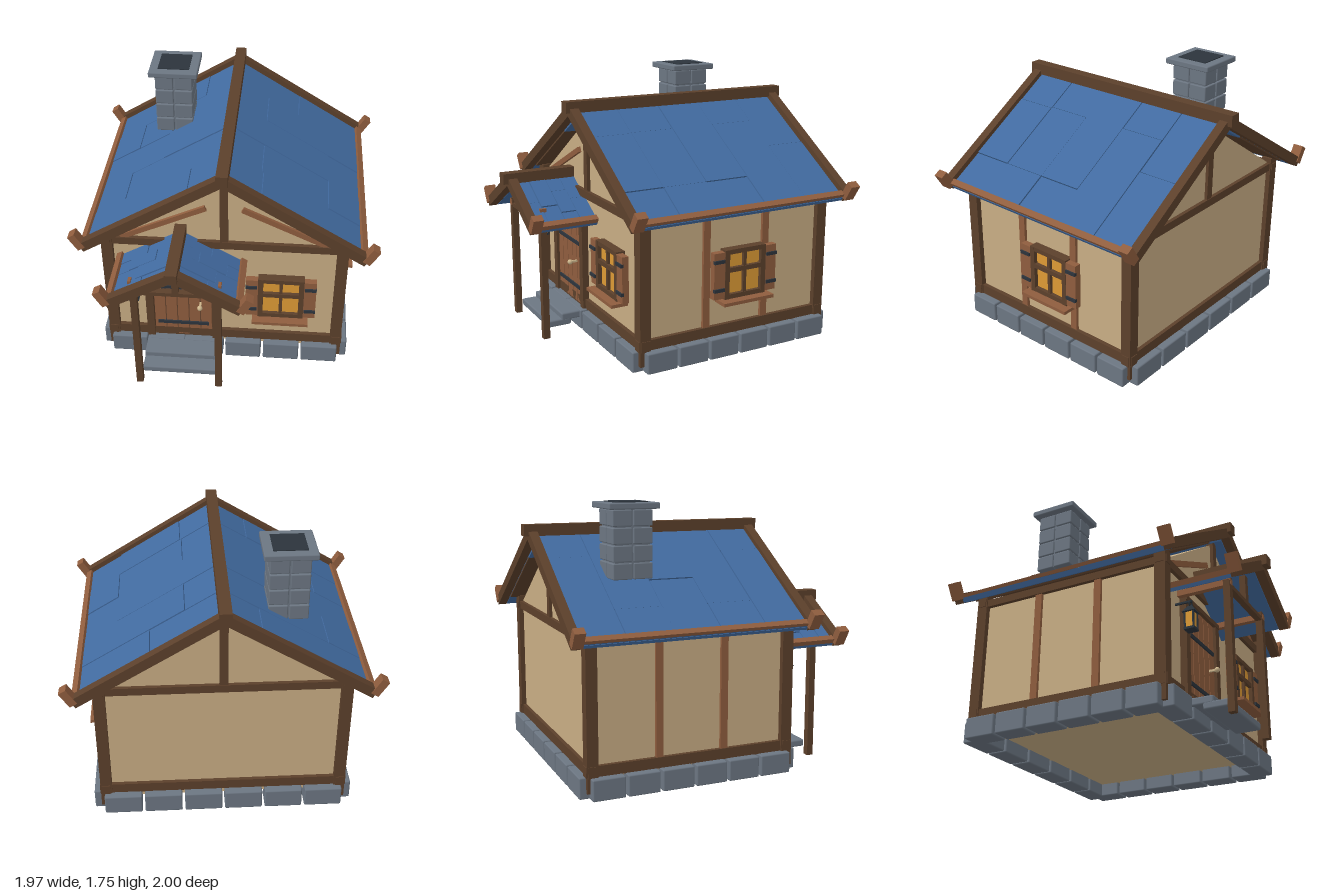
import * as THREE from 'three';
import { RoundedBoxGeometry } from 'three/addons/geometries/RoundedBoxGeometry.js';

const mat = (name, color) => Object.assign(new THREE.MeshStandardMaterial({ color }), { name });
const plaster = mat('plaster', 0xc8ad84);
const darkWood = mat('darkWood', 0x5c402b);
const lightWood = mat('lightWood', 0x8f5d3e);
const slate = mat('blueRoof', 0x416a9f);
const stone = mat('stone', 0x6c7682);
const iron = mat('iron', 0x2c343c);
const glass = mat('amberGlass', 0xdd9a35);
const brass = mat('paleBrass', 0xcdb68c);

function add(parent, name, geometry, material, x = 0, y = 0, z = 0) {
  const mesh = new THREE.Mesh(geometry, material);
  mesh.name = name;
  mesh.position.set(x, y, z);
  parent.add(mesh);
  return mesh;
}

// Box given by its lower and upper bounds
function box(parent, name, material, x0, x1, y0, y1, z0, z1, bevel = 0) {
  const s = [x1 - x0, y1 - y0, z1 - z0];
  const g = bevel ? new RoundedBoxGeometry(...s, 1, bevel) : new THREE.BoxGeometry(...s);
  return add(parent, name, g, material, (x0 + x1) / 2, (y0 + y1) / 2, (z0 + z1) / 2);
}

function group(parent, name) {
  const g = new THREE.Group();
  g.name = name;
  parent.add(g);
  return g;
}

// Gabled roof: u runs down the slope from the apex, v is normal to it
function roof(parent, o) {
  const g = group(parent, o.name);
  const c = Math.cos(o.angle), n = Math.sin(o.angle), L = o.length;
  for (const s of [-1, 1]) {
    const piece = (name, m, u0, u1, v0, v1, z0, z1) => {
      const u = (u0 + u1) / 2, v = (v0 + v1) / 2;
      const b = add(g, name, new THREE.BoxGeometry(u1 - u0, v1 - v0, z1 - z0), m,
        o.x + s * (u * c + v * n), o.y - u * n + v * c, (z0 + z1) / 2);
      b.rotation.z = -s * o.angle;
    };
    // Slabs in columns, each column broken at its own joints
    const joints = s > 0 ? o.jointsLeft : o.jointsRight;
    o.columns.slice(1).forEach((z1, i) => {
      const cuts = [0, ...joints[i], 1].map(t => t * (L - 0.005));
      for (let k = 0; k + 1 < cuts.length; k++) {
        const top = ((i + k) % 3) * 0.003 - 0.003;
        piece('roofSlab', slate, cuts[k], cuts[k + 1] - 0.004, -0.03, top, o.columns[i] + 0.004, z1);
      }
    });
    const zBack = o.columns[0], zFront = o.columns.at(-1);
    piece('roofDeck', slate, 0, L - 0.006, -0.034, -0.012, zBack, zFront);
    if (o.soffit) {
      piece('ridgeSoffit', slate, 0, 0.27, -0.045, -0.034, zBack, zFront);
      piece('soffit', darkWood, 0.27, 0.92, -0.045, -0.034, zBack, zFront);
    }
    piece('eaveBeam', lightWood, L - 0.045, L - 0.004, o.eave, 0.022, zBack, zFront);
    for (const [z0, z1] of o.rakes) {
      piece('rakeBeam', darkWood, 0, L, -0.034, 0.03, z0, z1);
      piece('rakeCap', lightWood, L - 0.03, L + 0.022, -0.008, 0.108, z0 - 0.005, z1 + 0.005);
    }
  }
  box(g, 'ridgeBeam', darkWood, o.x - 0.037, o.x + 0.037, ...o.ridge);
}

// Shuttered window facing +z, wall plane at z = 0, centred on x = 0
function makeWindow(parent, name) {
  const w = group(parent, name);
  box(w, 'pane', glass, -0.14, 0.14, 0.41, 0.71, 0, 0.035);
  for (const s of [-1, 1]) {
    box(w, 'frameSide', darkWood, s * 0.135 - 0.017, s * 0.135 + 0.017, 0.395, 0.72, 0, 0.062);
    box(w, 'shutter', lightWood, s * 0.192 - 0.04, s * 0.192 + 0.04, 0.405, 0.71, 0.015, 0.06);
    for (const y of [0.465, 0.653])
      box(w, 'shutterHinge', iron, s * 0.195 - 0.038, s * 0.195 + 0.038, y - 0.011, y + 0.011, 0.05, 0.07);
  }
  for (const [y0, y1] of [[0.395, 0.425], [0.57, 0.6], [0.69, 0.72]])
    box(w, 'frameRail', darkWood, -0.15, 0.15, y0, y1, 0, 0.06);
  box(w, 'mullion', darkWood, -0.011, 0.011, 0.41, 0.71, 0, 0.055);
  box(w, 'windowSill', lightWood, -0.187, 0.187, 0.37, 0.392, 0, 0.115);
  return w;
}

// Four rows of six foundation stones, leaving notched corners
function foundation(parent) {
  const f = group(parent, 'foundation');
  for (let i = 0; i < 6; i++) {
    const x = -0.786 + i * 0.262, z = -0.845 + i * 0.2255;
    for (const z0 of [-0.9, 0.43])
      box(f, 'foundationStone', stone, x + 0.009, x + 0.253, 0.012, 0.148, z0, z0 + 0.14, 0.009);
    for (const x0 of [-0.845, 0.705])
      box(f, 'foundationStone', stone, x0, x0 + 0.14, 0.012, 0.148, z + 0.008, z + 0.2175, 0.009);
  }
}

function walls(parent) {
  const w = group(parent, 'walls');
  const shape = new THREE.Shape([[-0.765, 0.1], [0.765, 0.1], [0.765, 0.97], [0, 1.475], [-0.765, 0.97]]
    .map(p => new THREE.Vector2(...p)));
  add(w, 'plasterWalls', new THREE.ExtrudeGeometry(shape, { depth: 1.32, bevelEnabled: false }), plaster, 0, 0, -0.825);
  for (const [z0, z1] of [[0.455, 0.53], [-0.857, -0.785]]) {
    for (const s of [-1, 1])
      box(w, 'cornerPost', darkWood, s * 0.763 - 0.037, s * 0.763 + 0.037, 0.05, 1.025, z0, z1);
    box(w, 'sillBeam', darkWood, -0.805, 0.805, 0.146, 0.215, z0 + 0.008, z1 - 0.008);
    box(w, 'tieBeam', darkWood, -0.805, 0.805, 0.937, 0.99, z0 + 0.008, z1 - 0.008);
    box(w, 'kingPost', darkWood, -0.026, 0.026, 0.98, 1.5, z0 + 0.012, z1 - 0.012);
  }
  for (const s of [-1, 1]) {
    const x = s * 0.765;
    box(w, 'sideSillBeam', darkWood, x - 0.027, x + 0.027, 0.146, 0.215, -0.862, 0.536);
    box(w, 'wallPlate', darkWood, x - 0.027, x + 0.027, 0.935, 0.985, -0.862, 0.536);
    for (const z of [0.052, -0.385])
      box(w, 'wallStud', lightWood, x - 0.02, x + 0.02, 0.21, 0.94, z - 0.024, z + 0.024);
    const brace = add(w, 'gableBrace', new THREE.BoxGeometry(0.61, 0.036, 0.03), lightWood, s * 0.393, 1.118, 0.5);
    brace.rotation.z = -s * 0.44;
  }
}

function door(parent) {
  const d = group(parent, 'door');
  box(d, 'doorBacking', darkWood, -0.53, -0.03, 0.15, 0.81, 0.48, 0.505);
  for (let i = 0; i < 5; i++) {
    const x = -0.475 + i * 0.079;
    box(d, 'doorPlank', lightWood, x, x + 0.072, 0.158, 0.8, 0.49, 0.522);
  }
  for (const x of [-0.505, -0.055])
    box(d, 'doorJamb', darkWood, x - 0.026, x + 0.026, 0.145, 0.82, 0.48, 0.54);
  box(d, 'doorLintel', darkWood, -0.53, -0.03, 0.795, 0.825, 0.48, 0.545);
  for (const y of [0.27, 0.59])
    box(d, 'doorStrap', iron, -0.455, -0.105, y - 0.012, y + 0.012, 0.515, 0.532);
  add(d, 'doorKnob', new THREE.SphereGeometry(0.018, 12, 8), brass, -0.16, 0.455, 0.575);
  box(d, 'knobStem', brass, -0.167, -0.153, 0.448, 0.462, 0.52, 0.57);
  box(d, 'upperStep', stone, -0.53, -0.03, 0.09, 0.142, 0.5, 0.7, 0.012);
  box(d, 'lowerStep', stone, -0.53, -0.03, 0.055, 0.104, 0.63, 0.8, 0.012);
}

function lantern(parent) {
  const l = group(parent, 'lantern');
  l.position.set(-0.592, 0, 0.598);
  box(l, 'lanternGlass', glass, -0.026, 0.026, 0.555, 0.66, -0.026, 0.026);
  box(l, 'lanternBase', iron, -0.034, 0.034, 0.543, 0.558, -0.034, 0.034);
  for (const x of [-0.028, 0.028]) for (const z of [-0.028, 0.028])
    box(l, 'lanternBar', iron, x - 0.005, x + 0.005, 0.55, 0.665, z - 0.005, z + 0.005);
  const cap = add(l, 'lanternCap', new THREE.CylinderGeometry(0.018, 0.06, 0.045, 4), iron, 0, 0.682, 0);
  cap.rotation.y = Math.PI / 4;
  add(l, 'lanternRing', new THREE.TorusGeometry(0.02, 0.005, 6, 14), iron, 0, 0.72, 0);
  box(l, 'lanternBracket', iron, -0.006, 0.006, 0.732, 0.744, -0.11, 0.01);
}

function chimney(parent) {
  const c = group(parent, 'chimney');
  const x = -0.412, z = -0.455;
  box(c, 'chimneyCore', stone, x - 0.115, x + 0.115, 1.285, 1.71, z - 0.115, z + 0.115);
  for (let i = 0; i < 4; i++) {
    const y = 1.28 + i * 0.108;
    for (const dx of [-0.065, 0.065]) for (const dz of [-0.067, 0.067])
      box(c, 'chimneyBlock', stone, x + dx - 0.061, x + dx + 0.061, y, y + 0.1, z + dz - 0.063, z + dz + 0.063, 0.007);
  }
  box(c, 'chimneyCap', stone, x - 0.165, x + 0.165, 1.708, 1.747, z - 0.165, z + 0.165, 0.008);
  box(c, 'flueOpening', iron, x - 0.106, x + 0.106, 1.745, 1.752, z - 0.106, z + 0.106);
}

function porch(parent) {
  const p = group(parent, 'porch');
  for (const s of [-1, 1]) {
    const x = -0.28 + s * 0.267, peg = -0.282 + s * 0.283;
    box(p, 'porchPost', darkWood, x - 0.022, x + 0.022, 0, 0.86, 0.803, 0.847);
    box(p, 'postPeg', lightWood, peg - 0.01, peg + 0.01, 0.84, 0.908, 0.803, 0.847);
    box(p, 'porchRail', lightWood, x - 0.018, x + 0.018, 0.81, 0.848, 0.49, 0.85);
  }
  box(p, 'porchTieBeam', darkWood, -0.53, -0.03, 0.798, 0.825, 0.805, 0.845);
  box(p, 'porchKingPost', darkWood, -0.3, -0.257, 0.825, 1.0, 0.805, 0.845);
  const joints = [[0.5], [0.33, 0.75], [0.6], [0.5]];
  roof(p, {
    name: 'porchRoof', x: -0.278, y: 1.055, angle: 0.524, length: 0.487, eave: -0.012,
    columns: [0.49, 0.6, 0.705, 0.82, 0.902], jointsLeft: joints, jointsRight: joints,
    rakes: [[0.905, 0.965]], ridge: [1.035, 1.105, 0.48, 1.0],
  });
}

export function createModel() {
  const model = new THREE.Group();
  model.name = 'cottage';
  foundation(model);
  walls(model);
  door(model);
  lantern(model);
  porch(model);
  chimney(model);
  makeWindow(model, 'frontWindow').position.set(0.378, 0, 0.495);
  const side = makeWindow(model, 'sideWindow');
  side.position.set(0.765, 0, -0.21);
  side.rotation.y = Math.PI / 2;
  roof(model, {
    name: 'mainRoof', x: 0, y: 1.538, angle: 0.553, length: 1.067, eave: 0, soffit: true,
    columns: [-0.91, -0.63, -0.32, -0.015, 0.29, 0.572],
    jointsLeft: [[0.49], [0.25], [0.73], [0.25, 0.73], [0.26, 0.73]],
    jointsRight: [[0.25], [0.74], [0.5], [0.74], [0.25]],
    rakes: [[-0.97, -0.912], [0.572, 0.633]], ridge: [1.522, 1.595, -1, 0.66],
  });
  return model;
}
